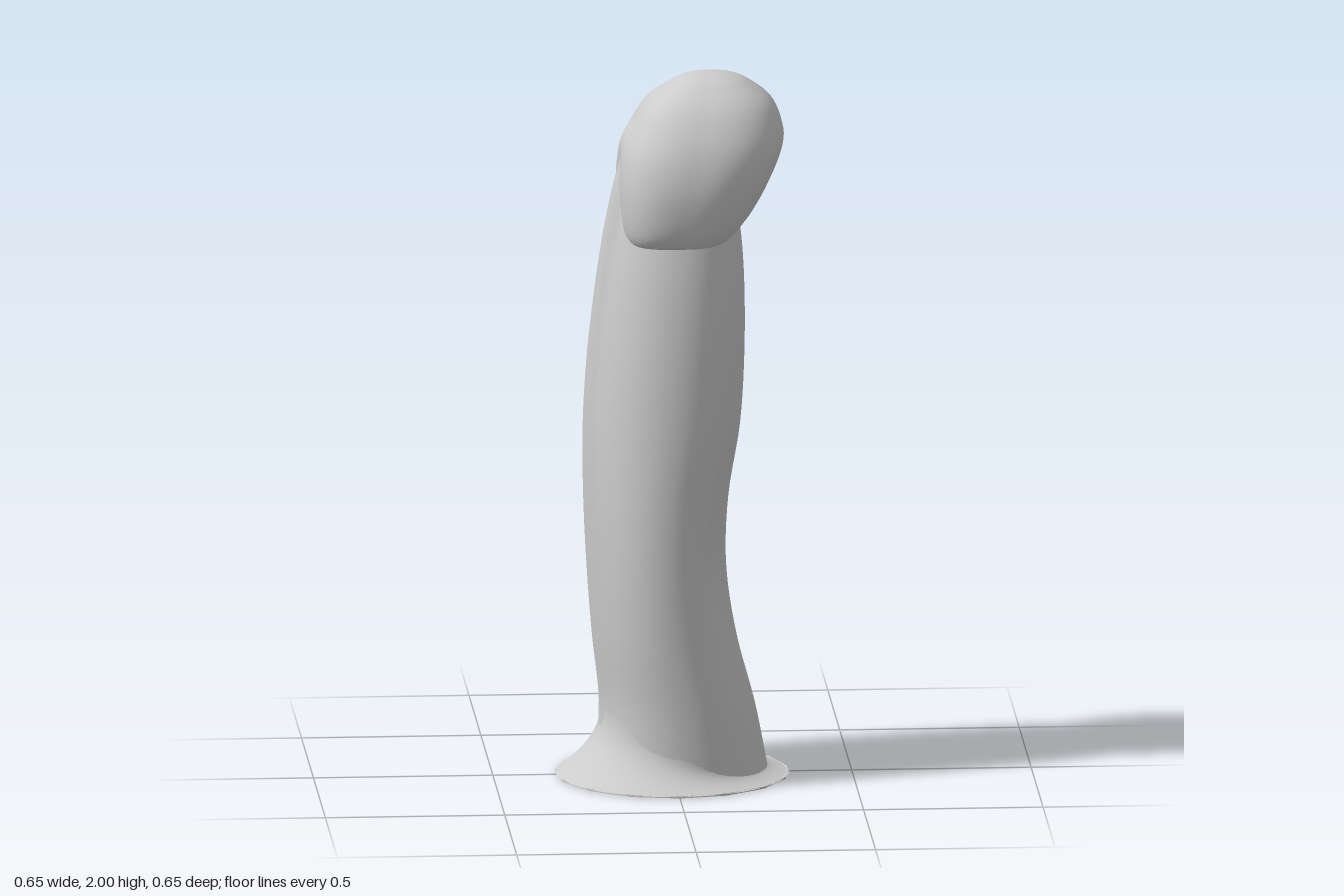
import * as THREE from 'three';

const material = new THREE.MeshStandardMaterial({ color: 0xcccccc });
const gauss = (d, w) => Math.exp(-(d / w) * (d / w));
const clamp = THREE.MathUtils.clamp;

// Skin of closed rings, point(t, angle) for t from 0 (bottom) to 1 (top)
function loft(name, point, rings, sides) {
  const positions = [], index = [];
  for (let i = 0; i <= rings; i++) {
    for (let j = 0; j < sides; j++) {
      positions.push(...point(i / rings, (j / sides) * Math.PI * 2));
      if (i === rings) continue;
      const a = i * sides + j, b = i * sides + (j + 1) % sides;
      index.push(a, a + sides, b, b, a + sides, b + sides);
    }
  }
  const geometry = new THREE.BufferGeometry();
  geometry.setAttribute('position', new THREE.Float32BufferAttribute(positions, 3));
  geometry.setIndex(index);
  geometry.computeVertexNormals();
  const mesh = new THREE.Mesh(geometry, material);
  mesh.name = name;
  return mesh;
}

// Smooth sections from rows of [y, left x, right x, half depth]
function sections(rows) {
  const a = new THREE.SplineCurve(rows.map(r => new THREE.Vector2(r[0], r[3])));
  const b = new THREE.SplineCurve(rows.map(r => new THREE.Vector2(r[1], r[2])));
  return t => {
    const p = a.getPoint(t), q = b.getPoint(t);
    return { y: p.x, depth: p.y, mid: (q.x + q.y) / 2, half: (q.y - q.x) / 2 };
  };
}

const power = (v, n) => Math.sign(v) * Math.pow(Math.abs(v), 2 / n);

function createShaft() {
  const at = sections([
    [0.02, -0.20, 0.265, 0.245], [0.2, -0.185, 0.23, 0.25], [0.4, -0.205, 0.178, 0.256],
    [0.6, -0.22, 0.15, 0.258], [0.8, -0.229, 0.157, 0.255], [1.0, -0.23, 0.188, 0.248],
    [1.2, -0.218, 0.2, 0.235], [1.4, -0.195, 0.2, 0.213], [1.55, -0.172, 0.19, 0.187],
    [1.66, -0.15, 0.17, 0.16], [1.76, -0.125, 0.14, 0.12],
  ]);
  return loft('shaft', (t, angle) => {
    const s = at(t), c = Math.cos(angle);
    let x = s.mid + s.half * power(c, 2.1);
    let z = s.depth * power(Math.sin(angle), 2.1);
    // Raised ridge along one side
    if (c < 0) x -= 0.019 * (1 - THREE.MathUtils.smoothstep(Math.abs(z), 0.04, 0.075));
    // Shallow hollows beside the curved side
    else x -= 0.035 * gauss(s.y - 0.6, 0.3) * gauss(Math.abs(z) - 0.12, 0.06);
    return [x, s.y, z + 0.006 * gauss(s.y - 0.6, 0.6)];
  }, 48, 72);
}

function createHead() {
  const at = sections([
    [1.68, -0.1, 0.14, 0.12], [1.57, -0.13, 0.16, 0.16], [1.533, -0.137, 0.17, 0.185],
    [1.56, -0.15, 0.198, 0.212], [1.62, -0.157, 0.24, 0.229], [1.7, -0.157, 0.28, 0.236],
    [1.78, -0.145, 0.307, 0.226], [1.85, -0.115, 0.306, 0.2], [1.92, -0.07, 0.278, 0.155],
    [1.97, 0, 0.218, 0.095], [1.992, 0.05, 0.168, 0.05], [2, 0.108, 0.109, 0.0005],
  ]);
  return loft('head', (t, angle) => {
    const s = at(t), c = Math.cos(angle);
    const n = c < 0 ? 2.9 : 2.25;
    let x = s.mid + s.half * power(c, n);
    const z = s.depth * power(Math.sin(angle), n);
    // Arched notches in the lower rim on both sides
    const low = clamp((1.85 - s.y) / 0.3, 0, 1);
    const notch = low * Math.abs(c) * gauss(z, c < 0 ? 0.065 : 0.09);
    if (c < 0) x += 0.025 * notch;
    return [x, s.y + (c < 0 ? 0.15 : 0.1) * notch, z];
  }, 56, 72);
}

// Flared foot, climbing higher on the ridge side
function createFoot() {
  const sides = 15;
  const foot = new THREE.Group();
  foot.name = 'foot';
  foot.add(loft('flare', (t, angle) => {
    const c = Math.cos(angle), s = Math.sin(angle);
    const height = 0.035 + 0.165 * Math.pow((1 - c) / 2, 1.8);
    const top = [0.028 + 0.227 * c, 0.25 * s];
    const f = Math.pow(1 - t, 2.2);
    return [
      THREE.MathUtils.lerp(top[0], 0.325 * c, f),
      0.004 + height * t,
      THREE.MathUtils.lerp(top[1], 0.325 * s, f),
    ];
  }, 8, sides * 3));
  const plate = new THREE.Mesh(new THREE.CylinderGeometry(0.326, 0.326, 0.006, sides), material);
  plate.name = 'basePlate';
  plate.position.y = 0.003;
  foot.add(plate);
  return foot;
}

export function createModel() {
  const model = new THREE.Group();
  model.name = 'model';
  model.add(createShaft(), createHead(), createFoot());
  return model;
}
